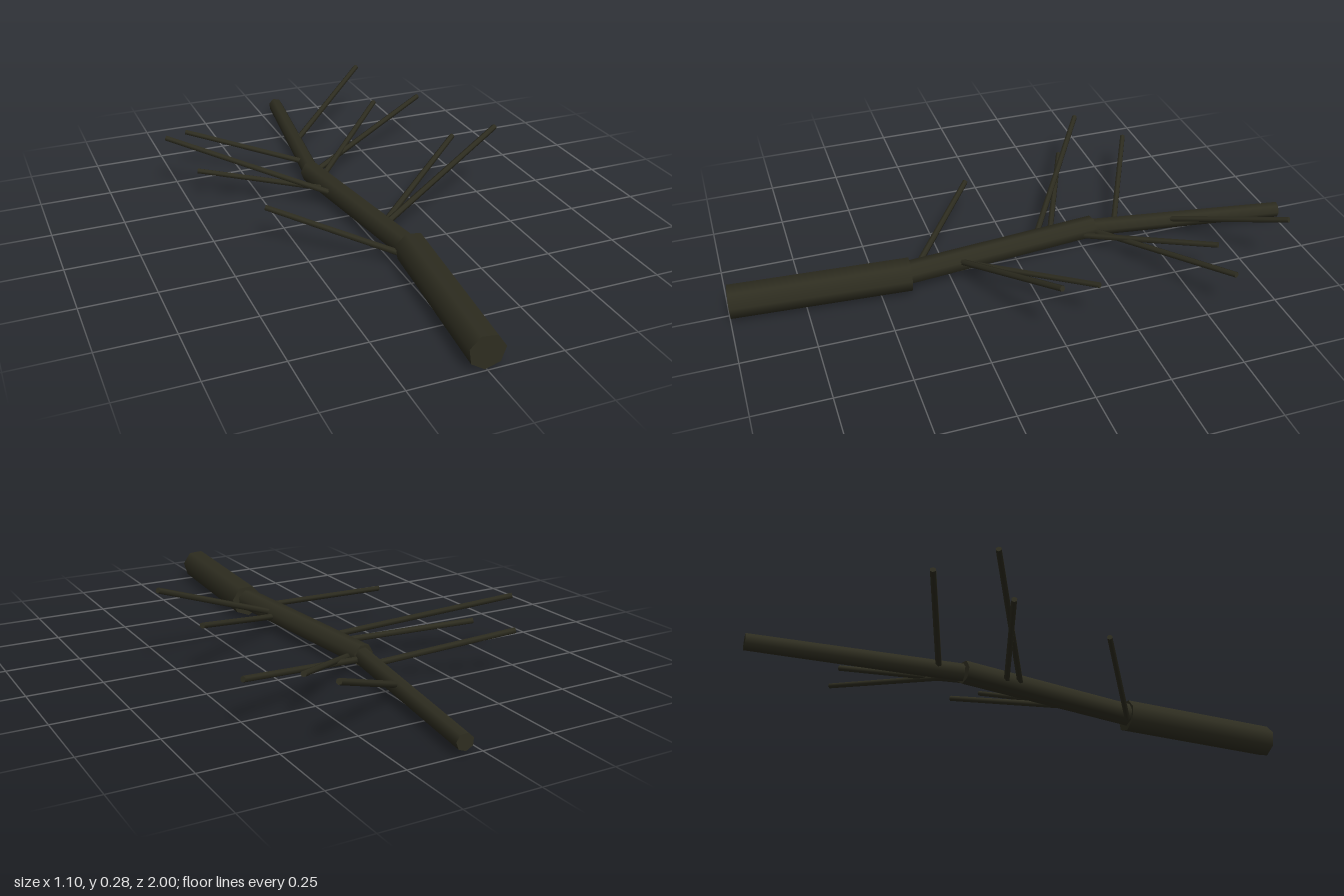
import * as THREE from 'three';

export function createModel() {
  const model = new THREE.Group();
  model.name = 'fallenBranch';
  const bark = new THREE.MeshStandardMaterial({ color: 0x2e2d20 });
  bark.name = 'dark bark';
  const up = new THREE.Vector3(0, 1, 0);

  // Straight limb between two points, with a radius at each end
  function limb(name, from, to, r0, r1, sides) {
    const a = new THREE.Vector3(...from);
    const b = new THREE.Vector3(...to);
    const dir = b.clone().sub(a);
    const geometry = new THREE.CylinderGeometry(r1, r0, dir.length(), sides, 1, false, Math.PI);
    const mesh = new THREE.Mesh(geometry, bark);
    mesh.name = name;
    mesh.position.copy(a).add(b).multiplyScalar(0.5);
    mesh.quaternion.setFromUnitVectors(up, dir.normalize());
    model.add(mesh);
  }

  // Main stem in three bent, stepped lengths
  limb('lowerStem', [0, 0.062, 0.995], [0.05, 0.068, 0.395], 0.058, 0.058, 7);
  limb('middleStem', [0.045, 0.07, 0.405], [-0.04, 0.053, -0.3], 0.041, 0.04, 7);
  limb('upperStem', [-0.037, 0.052, -0.3], [0.06, 0.043, -0.998], 0.031, 0.028, 7);

  // Thin side twigs: root, then tip
  const twigs = [
    [[0.03, 0.068, 0.22], [0.54, 0.272, 0.035]],
    [[0.04, 0.06, 0.195], [0.455, 0.185, -0.125]],
    [[-0.02, 0.045, -0.305], [0.525, 0.168, -0.573]],
    [[-0.02, 0.04, -0.245], [0.345, 0.16, -0.6]],
    [[0, 0.053, -0.575], [0.37, 0.225, -0.845]],
    [[0.02, 0.045, 0.38], [-0.34, 0.142, 0.085]],
    [[-0.02, 0.052, -0.13], [-0.46, 0.117, -0.328]],
    [[-0.015, 0.052, -0.07], [-0.545, 0.22, -0.425]],
    [[-0.025, 0.052, -0.38], [-0.435, 0.162, -0.585]],
  ];
  twigs.forEach(([root, tip], i) => limb(`twig${i + 1}`, root, tip, 0.011, 0.01, 6));

  return model;
}
